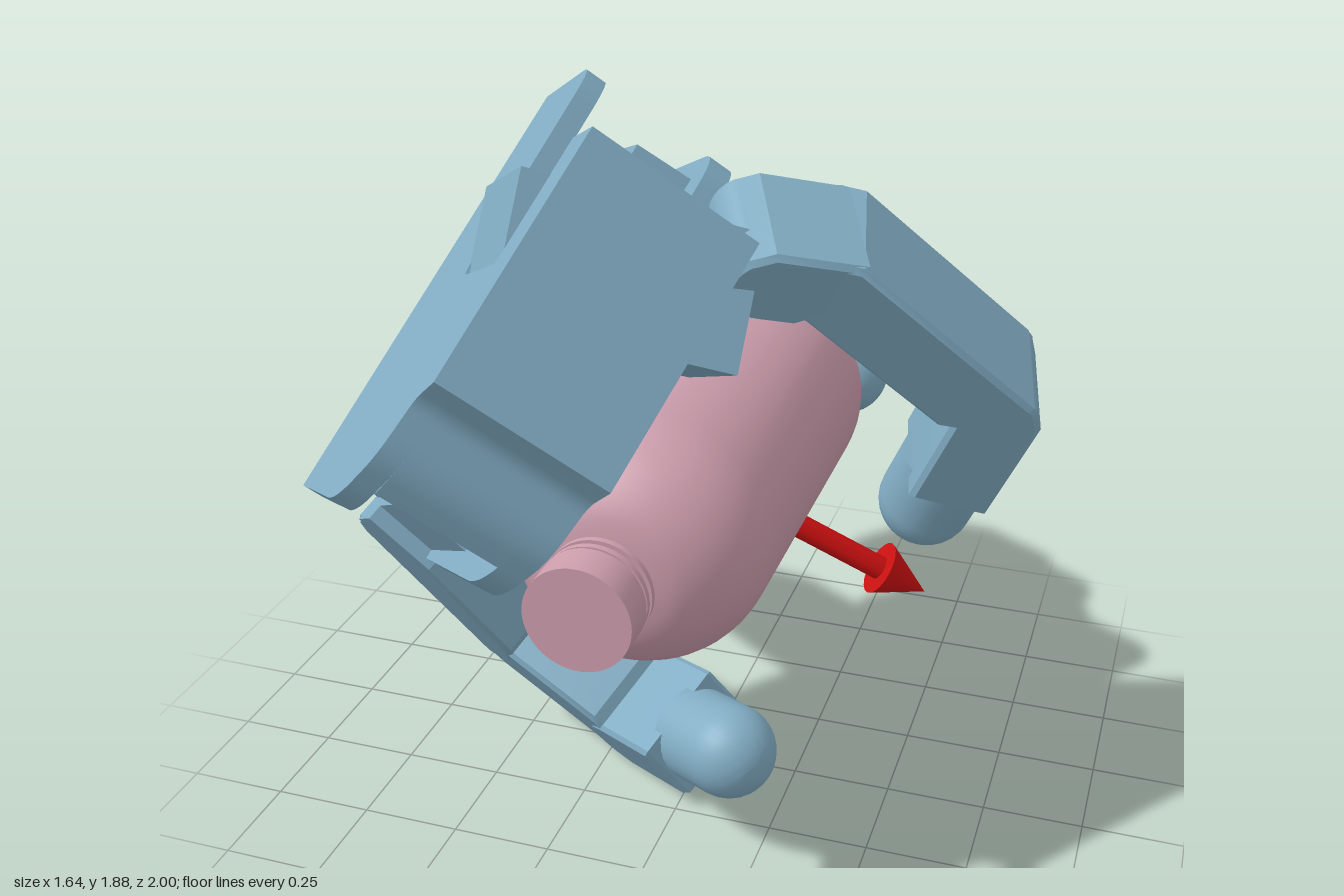
import * as THREE from 'three';
import { toCreasedNormals } from 'three/addons/utils/BufferGeometryUtils.js';

const V = (x, y, z) => new THREE.Vector3(x, y, z);
const rad = THREE.MathUtils.degToRad;
const blue = new THREE.MeshStandardMaterial({ color: 0x82adc4 });
const pink = new THREE.MeshStandardMaterial({ color: 0xcc9dac });
const red = new THREE.MeshStandardMaterial({ color: 0xcc1010 });

// Palm frame: U across the palm, E towards the fingers, T out of the palm's inner face
const T = V(0.754, -0.595, -0.28).normalize();
const E = T.clone().cross(V(-0.317, -0.716, 0.632)).normalize();
const U = E.clone().cross(T);
const CORNER = V(-0.02, 1.86, 0.64);
const P = (u, e, t) => CORNER.clone().addScaledVector(U, u).addScaledVector(E, e).addScaledVector(T, t);
const mix = (a, ka, b, kb) => a.clone().multiplyScalar(ka).addScaledVector(b, kb);

function mesh(geo, mat, name, crease = 0.5) {
  const m = new THREE.Mesh(toCreasedNormals(geo, crease), mat);
  m.name = name;
  return m;
}

// Put an object in a frame given by three axes and an origin
function place(obj, x, y, z, origin) {
  new THREE.Matrix4().makeBasis(x, y, z).setPosition(origin).decompose(obj.position, obj.quaternion, obj.scale);
  return obj;
}

// Polygon whose corners [x, y, r] are rounded by r
function roundedShape(pts) {
  const s = new THREE.Shape();
  pts.forEach(([x, y, r = 0], i) => {
    const c = new THREE.Vector2(x, y);
    const toward = (q) => new THREE.Vector2(q[0], q[1]).sub(c).setLength(r).add(c);
    const a = toward(pts[(i + pts.length - 1) % pts.length]);
    const b = toward(pts[(i + 1) % pts.length]);
    if (i === 0) s.moveTo(a.x, a.y); else s.lineTo(a.x, a.y);
    if (r) s.quadraticCurveTo(x, y, b.x, b.y);
  });
  s.closePath();
  return s;
}

// Palm: two full plates with a narrower core, cut out for the thumb base
function buildPalm() {
  const g = new THREE.Group();
  g.name = 'palm';
  const base = [[0.3, 0.47, 0.03], [0.3, 0.15], [0, 0.15], [0, 0], [0.574, 0], [0.61, 0.09, 0.03], [0.74, 0.14, 0.06]];
  const plate = [...base, [0.85, 0.32, 0.1], [0.85, 0.94], [-0.26, 0.94], [-0.26, 0.5, 0.09]];
  const core = [...base, [0.8, 0.23], [0.58, 0.27, 0.03], [0.58, 0.94], [-0.02, 0.94], [-0.02, 0.49]];
  [['backPlate', plate, 0, 0.05], ['palmCore', core, 0.05, 0.29], ['innerPlate', plate, 0.34, 0.06]].forEach(([name, pts, t, depth]) => {
    const geo = new THREE.ExtrudeGeometry(roundedShape(pts), { depth, bevelEnabled: false, curveSegments: 8 });
    geo.translate(0, 0, t);
    g.add(mesh(geo, blue, name));
  });
  return place(g, U, E, T, CORNER);
}

// Finger segment from joint p to joint q, hinged about w; the last one carries a round tip
function link(p, q, w, name, tip = false, width = 0.27) {
  const g = new THREE.Group();
  g.name = name;
  const a = q.clone().sub(p);
  const L = a.length();
  a.normalize();
  const n = w.clone().cross(a).normalize();
  const h = 0.097;
  const s = new THREE.Shape();
  s.moveTo(-h, -0.02);
  s.lineTo(-h * 0.75, -0.06);
  s.absarc(0, 0, h, Math.PI * 1.25, Math.PI * 2, false);
  if (tip) {
    s.lineTo(h, L - 0.13);
    s.lineTo(-h, L - 0.13);
  } else {
    s.lineTo(h, L - 0.09);
    s.lineTo(h * 0.5, L - 0.02);
    s.lineTo(-h * 0.4, L + 0.02);
    s.lineTo(-h, L + 0.01);
  }
  s.closePath();
  const bevel = 0.012;
  const geo = new THREE.ExtrudeGeometry(s, {
    depth: width - bevel * 2, bevelThickness: bevel, bevelSize: bevel, bevelOffset: -bevel, bevelSegments: 1, curveSegments: 10,
  });
  geo.translate(0, 0, bevel - width / 2);
  g.add(mesh(geo, blue, 'segmentShell'));
  if (tip) {
    const r = 0.118;
    const profile = [new THREE.Vector2(0, L - 0.16), new THREE.Vector2(r, L - 0.16)];
    for (let i = 0; i <= 10; i++) {
      const f = (i / 10) * Math.PI / 2;
      profile.push(new THREE.Vector2(r * Math.cos(f), L + r * Math.sin(f)));
    }
    g.add(mesh(new THREE.LatheGeometry(profile, 32), blue, 'roundTip'));
  }
  return place(g, n, a, n.clone().cross(a), p);
}

// Finger: side places it across the palm, angles are the bends from straight
function buildFinger(name, side, sway, angles, endLength) {
  const g = new THREE.Group();
  g.name = name;
  const k = rad(5 * side);
  const z = mix(E, Math.cos(k), U, Math.sin(k));
  const y0 = mix(U, Math.cos(k), E, -Math.sin(k));
  const x = mix(T, Math.cos(rad(sway)), y0, Math.sin(rad(sway)));
  const y = z.clone().cross(x);
  const base = P(0.295 + 0.426 * side, 0.94, 0.29);
  let p = base.clone().addScaledVector(z, 0.161);
  // Motor block, swivel and bracket at the knuckle
  const block = (part, size, along, out) => {
    const c = base.clone().addScaledVector(z, along).addScaledVector(x, out);
    g.add(place(mesh(new THREE.BoxGeometry(...size), blue, part), y, z, y.clone().cross(z), c));
  };
  block('motor', [0.19, 0.4, 0.19], -0.14, 0);
  block('swivel', [0.27, 0.14, 0.19], 0.08, 0);
  block('bracket', [0.13, 0.17, 0.06], 0.06, -0.12);
  [0.529, 0.376, endLength].forEach((len, i) => {
    const f = rad(angles[i]);
    const q = p.clone().addScaledVector(mix(x, Math.sin(f), z, Math.cos(f)), len);
    g.add(link(p, q, y, ['lowerSegment', 'middleSegment', 'endSegment'][i], i === 2, i === 1 ? 0.264 : 0.27));
    p = q;
  });
  return g;
}

function buildThumb() {
  const g = new THREE.Group();
  g.name = 'thumb';
  const f = rad(70);
  const d = mix(U, -Math.cos(f), T, Math.sin(f));
  const up = mix(T, -Math.cos(f), U, -Math.sin(f));
  const root = P(0.105, 0.49, 0.112);
  const block = (name, se, sd, su, e, dd, uu) => {
    const c = root.clone().addScaledVector(E, e).addScaledVector(d, dd).addScaledVector(up, uu);
    g.add(place(mesh(new THREE.BoxGeometry(se, sd, su), blue, name), E, d, E.clone().cross(d), c));
  };
  block('thumbBase', 0.34, 0.35, 0.31, -0.175, 0.015, -0.1);
  block('thumbBaseCover', 0.32, 0.18, 0.3, -0.175, 0.28, -0.1);
  const [a, b, c, tip] = [V(0.22, 1.535, 0.3), V(0.365, 1.495, 0.205), V(0.69, 1.14, -0.03), V(0.525, 0.76, -0.16)];
  const w = c.clone().sub(b).cross(tip.clone().sub(c)).normalize();
  g.add(link(a, b, w, 'thumbSwivel', false, 0.26));
  g.add(link(b, c, w, 'thumbLowerSegment'));
  g.add(link(c, tip, w, 'thumbEndSegment', true, 0.264));
  return g;
}

// Bottle lying along z, with five notches pressed into its foot
function buildBottle() {
  const pts = [[0, -0.56], [0.23, -0.56], [0.262, -0.545], [0.282, -0.52], [0.294, -0.485], [0.301, -0.45], [0.303, -0.42], [0.303, 0.4]];
  for (let i = 1; i <= 8; i++) {
    const f = (i / 8) * 1.2;
    pts.push([0.05 + 0.253 * Math.cos(f), 0.4 + 0.257 * Math.sin(f)]);
  }
  pts.push([0.09, 0.645], [0.09, 0.675], [0.12, 0.675], [0.12, 0.69], [0.1, 0.69], [0.1, 0.705], [0.12, 0.705],
    [0.12, 0.72], [0.105, 0.72], [0.105, 0.73], [0.122, 0.73], [0.122, 0.82], [0, 0.82]);
  const geo = new THREE.LatheGeometry(pts.map(([r, y]) => new THREE.Vector2(r, y)), 60);
  geo.rotateX(Math.PI / 2);
  const pos = geo.attributes.position;
  const step = Math.PI * 2 / 5;
  for (let i = 0; i < pos.count; i++) {
    const depth = THREE.MathUtils.clamp((-0.43 - pos.getZ(i)) / 0.13, 0, 1);
    const turn = Math.atan2(pos.getY(i), pos.getX(i)) - step / 2;
    const off = Math.abs(turn - Math.round(turn / step) * step);
    const k = 1 - 0.42 * depth * Math.max(0, 1 - off / (0.1 + 0.36 * depth));
    pos.setXY(i, pos.getX(i) * k, pos.getY(i) * k);
  }
  geo.translate(-0.015, 0.87, 0);
  return mesh(geo, pink, 'bottle', 0.35);
}

function buildArrow() {
  const g = new THREE.Group();
  g.name = 'arrow';
  const from = V(-0.01, 0.855, 0.055);
  const dir = V(0.535, 0.49, -0.165).sub(from);
  const L = dir.length();
  const shaft = mesh(new THREE.CylinderGeometry(0.03, 0.03, L - 0.14, 20), red, 'arrowShaft');
  shaft.position.y = (L - 0.14) / 2;
  const head = mesh(new THREE.ConeGeometry(0.07, 0.14, 20), red, 'arrowHead');
  head.position.y = L - 0.07;
  g.add(shaft, head);
  g.position.copy(from);
  g.quaternion.setFromUnitVectors(V(0, 1, 0), dir.normalize());
  return g;
}

export function createModel() {
  const model = new THREE.Group();
  model.name = 'robotHandWithBottle';
  model.add(
    buildPalm(),
    buildFinger('indexFinger', 1, 10, [65, 113, 160], 0.355),
    buildFinger('middleFinger', 0, 3.5, [32, 83, 145], 0.34),
    buildFinger('ringFinger', -1, -2, [32.5, 94, 150], 0.35),
    buildThumb(), buildBottle(), buildArrow(),
  );
  return model;
}
